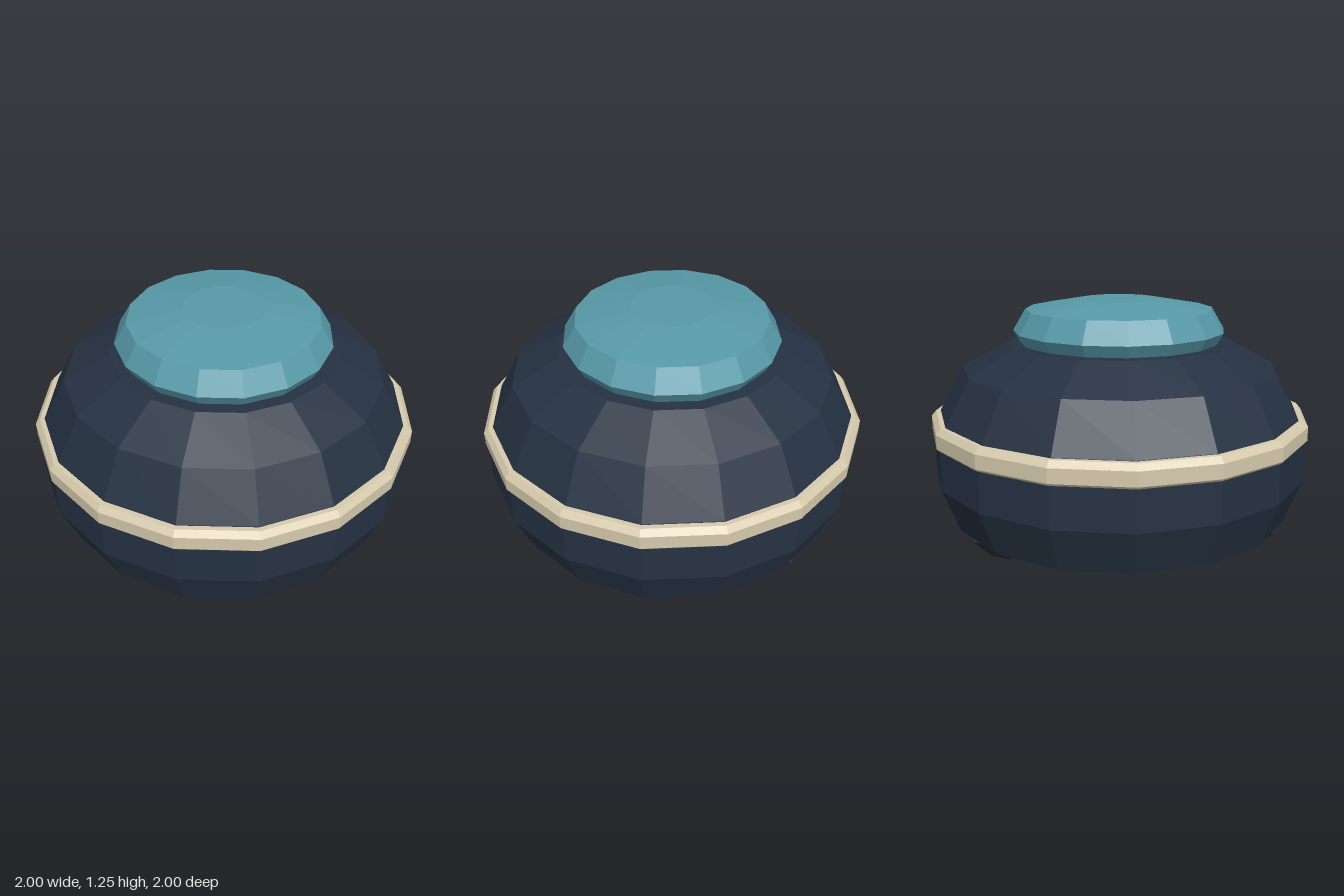
import * as THREE from 'three';

// One flat colour per material
const navy = new THREE.MeshStandardMaterial({ color: 0x253142 });
navy.name = 'navy';
const cream = new THREE.MeshStandardMaterial({ color: 0xd6caad });
cream.name = 'cream';
const teal = new THREE.MeshStandardMaterial({ color: 0x5799a8 });
teal.name = 'teal';
const charcoal = new THREE.MeshStandardMaterial({ color: 0x2e2d2c });
charcoal.name = 'charcoal';

// Faceted turned part from [radius, height] points, listed bottom to top
function turned(name, profile, sides, material) {
  const points = profile.map(([r, y]) => new THREE.Vector2(r, y));
  const geometry = new THREE.LatheGeometry(points, sides).toNonIndexed();
  geometry.computeVertexNormals();
  const mesh = new THREE.Mesh(geometry, material);
  mesh.name = name;
  return mesh;
}

export function createModel() {
  const model = new THREE.Group();
  model.name = 'roundPot';

  // Squat round body
  model.add(turned('body', [
    [0, 0.006], [0.6, 0.006], [0.9, 0.12], [0.99, 0.35], [0.985, 0.56],
    [0.95, 0.67], [0.825, 0.9], [0.585, 1.03], [0, 1.03],
  ], 16, navy));

  // Raised band round the middle, closed on the inside
  model.add(turned('band', [
    [0.94, 0.555], [0.99, 0.555], [1, 0.567], [1, 0.638],
    [0.975, 0.667], [0.94, 0.667], [0.94, 0.555],
  ], 16, cream));

  // Bevelled lid
  model.add(turned('lid', [
    [0, 1.02], [0.515, 1.02], [0.555, 1.09], [0.49, 1.2], [0.21, 1.25], [0, 1.25],
  ], 16, teal));

  // Three stubby six-sided feet, each with a corner pointing outward
  for (let i = 0; i < 3; i++) {
    const angle = Math.PI / 2 + i * Math.PI * 2 / 3;
    const foot = turned('foot', [
      [0, 0], [0.1, 0], [0.2, 0.1], [0.17, 0.16], [0, 0.2],
    ], 6, charcoal);
    foot.position.set(Math.sin(angle) * 0.685, 0, Math.cos(angle) * 0.685);
    foot.rotation.y = angle;
    model.add(foot);
  }

  return model;
}
